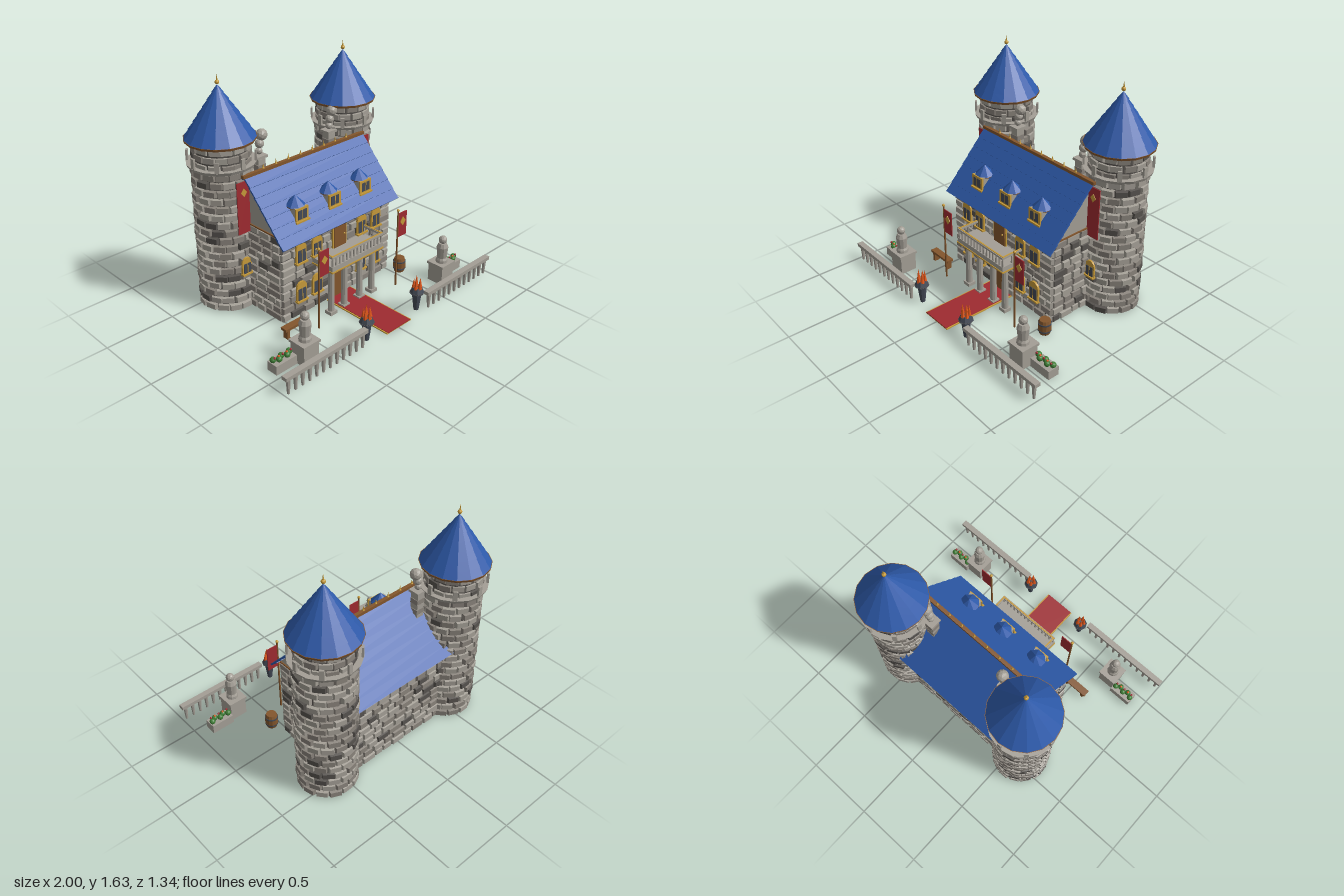
import * as THREE from 'three';
import { mergeGeometries } from 'three/addons/utils/BufferGeometryUtils.js';

const mat = (name, color) => Object.assign(new THREE.MeshStandardMaterial({ color }), { name });
const M = {
  light: mat('lightStone', 0xa39e95), mid: mat('midStone', 0x89837b), dark: mat('darkStone', 0x57534f),
  blue: mat('roofBlue', 0x2d59a8), red: mat('clothRed', 0x9e2b30), gold: mat('gold', 0xc69a3a),
  wood: mat('wood', 0x83562d), slate: mat('slate', 0x444a56), fire: mat('flameOrange', 0xe2581c),
  green: mat('leafGreen', 0x3f7d36),
};
let seed = 7;
const rnd = () => (seed = (seed * 16807) % 2147483647) / 2147483647;

// Facets a geometry so that each side keeps its own normal
function flat(geo) {
  const g = geo.index ? geo.toNonIndexed() : geo;
  g.computeVertexNormals();
  return g;
}
function add(parent, name, geo, material, x = 0, y = 0, z = 0, rx = 0, ry = 0, rz = 0) {
  const m = new THREE.Mesh(flat(geo), material);
  m.name = name;
  m.position.set(x, y, z);
  m.rotation.set(rx, ry, rz);
  parent.add(m);
  return m;
}
function group(parent, name, x = 0, y = 0, z = 0) {
  const g = new THREE.Group();
  g.name = name;
  g.position.set(x, y, z);
  parent.add(g);
  return g;
}
const box = (w, h, d) => new THREE.BoxGeometry(w, h, d);
const cyl = (rt, rb, h, n = 10) => new THREE.CylinderGeometry(rt, rb, h, n);
const ball = (r) => new THREE.IcosahedronGeometry(r, 1);
const lathe = (pts, n) => new THREE.LatheGeometry(pts.map((p) => new THREE.Vector2(p[0], p[1])), n);
function plate(pts, depth = 0.006) {
  const s = new THREE.Shape(pts.map((p) => new THREE.Vector2(p[0], p[1])));
  return new THREE.ExtrudeGeometry(s, { depth, bevelEnabled: false });
}
const diamond = (r) => plate([[0, -r], [r * 0.8, 0], [0, r], [-r * 0.8, 0]], 0.004);

// Stones: boxes with a chamfered outer face, gathered by shade
function newStones() { return { light: [], mid: [], dark: [] }; }
function stone(list, w, h, d, matrix) {
  const g = box(w, h, d), p = g.attributes.position;
  for (let i = 0; i < p.count; i++) if (p.getZ(i) > 0) p.setXY(i, p.getX(i) * (1 - 0.012 / w), p.getY(i) * (1 - 0.012 / h));
  const r = rnd(), key = r < 0.5 ? 'light' : r < 0.88 ? 'mid' : 'dark';
  list[key].push(flat(g).applyMatrix4(matrix));
}
function finishStones(parent, name, list) {
  for (const k in list) if (list[k].length) add(parent, name, mergeGeometries(list[k]), M[k]);
}
function stoneWall(list, width, height, x, z, angle) {
  const rows = 11, rh = height / rows;
  const base = new THREE.Matrix4().makeRotationY(angle).setPosition(x, 0, z);
  for (let r = 0; r < rows; r++) {
    let u = -width / 2;
    while (u < width / 2 - 0.001) {
      let w = 0.065 + rnd() * 0.06;
      if (u + w > width / 2 - 0.045) w = width / 2 - u;
      const m = new THREE.Matrix4().makeTranslation(u + w / 2, (r + 0.5) * rh, rnd() * 0.007);
      stone(list, w - 0.006, rh - 0.006, 0.024, m.premultiply(base));
      u += w;
    }
  }
}

// Arched window with sill and glazing bars, facing +z
function archWindow(parent, x, y, z, w = 0.09, h = 0.15) {
  const g = group(parent, 'archedWindow', x, y, z), r = w / 2;
  const pts = [[-r, 0], [r, 0]];
  for (let i = 0; i <= 10; i++) pts.push([r * Math.cos(i * Math.PI / 10), h - r + r * Math.sin(i * Math.PI / 10)]);
  add(g, 'windowFrame', plate(pts, 0.014), M.gold);
  add(g, 'windowPane', box(w * 0.74, h * 0.58, 0.006), M.slate, 0, h * 0.36, 0.015);
  add(g, 'glazingBar', box(0.005, h * 0.58, 0.006), M.gold, 0, h * 0.36, 0.018);
  add(g, 'windowSill', box(w * 1.1, 0.012, 0.03), M.gold, 0, 0.003, 0.012);
}

function tower(root, s) {
  const g = group(root, 'tower', s * 0.56, 0, -0.43), list = newStones(), rows = 21, n = 14, rh = 1.2 / rows;
  add(g, 'towerCore', cyl(0.187, 0.187, 1.2, 16), M.dark, 0, 0.601, 0);
  for (let r = 0; r < rows; r++) for (let i = 0; i < n; i++) {
    const a = (i + (r % 2) * 0.5 + (rnd() - 0.5) * 0.15) / n * Math.PI * 2, top = r > 17 ? 0.01 : 0;
    const m = new THREE.Matrix4().makeRotationY(a).multiply(new THREE.Matrix4().makeTranslation(0, (r + 0.5) * rh, 0.188 - top + rnd() * 0.008));
    stone(list, 0.083 + rnd() * 0.006, rh - 0.006, 0.026, m);
  }
  finishStones(g, 'towerStones', list);
  // Gallery ledge and posts
  add(g, 'galleryLedge', cyl(0.235, 0.225, 0.022, 16), M.light, 0, 1.04, 0);
  for (let i = 0; i < 8; i++) {
    const a = i * Math.PI / 4;
    add(g, 'galleryPost', box(0.03, 0.075, 0.014), M.light, Math.sin(a) * 0.225, 1.085, Math.cos(a) * 0.225, 0, a);
  }
  // Conical roof in overlapping courses
  const pts = [[0, 1.212]], L = 7;
  for (let i = 0; i < L; i++) {
    const f = (k) => 0.235 * (1 - k / L);
    pts.push([f(i) + 0.004, 1.214 + i * 0.35 / L], [Math.max(f(i + 1) - 0.002, 0), 1.214 + (i + 1) * 0.35 / L]);
  }
  add(g, 'towerRoof', lathe(pts, 16), M.blue);
  add(g, 'eavesRing', cyl(0.241, 0.236, 0.016, 16), M.wood, 0, 1.208, 0);
  add(g, 'finialBall', ball(0.015), M.gold, 0, 1.578, 0);
  add(g, 'finialSpike', cyl(0, 0.007, 0.05, 6), M.gold, 0, 1.607, 0);
  // Window and long banner on the front
  archWindow(g, 0, 0.275, 0.202, 0.08, 0.125);
  add(g, 'towerBanner', box(0.11, 0.37, 0.006), M.red, 0, 0.775, 0.214);
  add(g, 'bannerDiamond', diamond(0.03), M.gold, 0, 0.885, 0.217);
}

function house(root) {
  const g = group(root, 'house'), list = newStones();
  add(g, 'houseCore', box(1.02, 0.64, 0.6), M.dark, 0, 0.321, -0.22);
  stoneWall(list, 1.04, 0.64, 0, 0.08, 0);
  stoneWall(list, 1.04, 0.64, 0, -0.52, Math.PI);
  stoneWall(list, 0.6, 0.64, 0.51, -0.22, Math.PI / 2);
  stoneWall(list, 0.6, 0.64, -0.51, -0.22, -Math.PI / 2);
  finishStones(g, 'wallStones', list);
  const gable = plate([[-0.31, 0], [0.31, 0], [0, 0.335]], 1.03).translate(0, 0, -0.515).rotateY(Math.PI / 2);
  add(g, 'gable', gable, M.light, 0, 0.638, -0.22);
  for (const s of [-1, 1]) add(g, 'gableTrim', box(0.012, 0.01, 0.6), M.wood, s * 0.517, 0.64, -0.22);

  // Roof slopes in overlapping courses
  const N = 7, run = 0.36, rise = 0.395, len = Math.hypot(run, rise), slope = Math.atan2(rise, run);
  for (const s of [-1, 1]) for (let i = 0; i < N; i++) {
    const t = (i + 0.5) / N;
    add(g, 'roofCourse', box(1.1, 0.012, len / N + 0.012), M.blue, 0, 0.985 - t * rise, -0.22 + s * t * run, s * (slope - 0.07));
  }
  add(g, 'ridgeBeam', box(1.12, 0.022, 0.026), M.wood, 0, 0.988, -0.22);
  for (let i = 0; i < 8; i++) {
    const x = (i - 3.5) * 0.11;
    add(g, 'ridgeSpike', cyl(0, 0.008, 0.04, 6), M.gold, x, 1.016, -0.22);
    add(g, 'ridgeBead', ball(0.009), M.gold, x, 1.0, -0.22);
  }
  // Dormers
  for (const x of [-0.3, 0, 0.3]) {
    const d = group(g, 'dormer', x, 0, 0);
    add(d, 'dormerBody', box(0.1, 0.1, 0.12), M.light, 0, 0.732, -0.01);
    add(d, 'dormerFrame', box(0.11, 0.1, 0.012), M.gold, 0, 0.732, 0.052);
    add(d, 'dormerPane', box(0.075, 0.065, 0.008), M.slate, 0, 0.734, 0.056);
    add(d, 'dormerBar', box(0.005, 0.065, 0.006), M.gold, 0, 0.734, 0.059);
    add(d, 'dormerSill', box(0.12, 0.012, 0.03), M.gold, 0, 0.686, 0.054);
    add(d, 'dormerEaves', cyl(0.068, 0.068, 0.008, 8), M.wood, 0, 0.778, -0.012, 0, Math.PI / 8);
    add(d, 'dormerRoof', cyl(0, 0.07, 0.072, 8), M.blue, 0, 0.817, -0.012, 0, Math.PI / 8);
  }
  // Chimneys with smoke
  for (const s of [-1, 1]) {
    const c = group(g, 'chimney', s * 0.325, 0, -0.335);
    for (let i = 0; i < 5; i++) add(c, 'chimneyStone', box(0.062 + (i % 2) * 0.006, 0.038, 0.064), i % 2 ? M.mid : M.light, 0, 0.84 + i * 0.04, 0);
    add(c, 'chimneyCap', box(0.088, 0.018, 0.085), M.light, 0, 1.035, 0);
    [[0.003, 1.07, 0.025], [0.01, 1.12, 0.032], [0.03, 1.178, 0.041]].forEach(([x, y, r]) => add(c, 'smokePuff', ball(r), M.light, x, y, 0));
  }
  // Windows and doors
  for (const x of [-0.36, -0.215, 0.215, 0.36]) for (const y of [0.12, 0.415]) archWindow(g, x, y, 0.096);
  for (const [y, h] of [[0.01, 0.24], [0.4, 0.19]]) {
    add(g, 'doorFrame', box(0.13, h + 0.012, 0.012), M.gold, 0, y + h / 2, 0.098);
    add(g, 'door', box(0.112, h, 0.014), M.wood, 0, y + h / 2, 0.103);
    add(g, 'doorHandle', ball(0.007), M.gold, 0.038, y + h * 0.45, 0.113);
  }
  add(g, 'doorPennant', plate([[-0.055, 0.34], [-0.055, 0.275], [0, 0.24], [0.055, 0.275], [0.055, 0.34]]), M.blue, 0, 0, 0.113);
  add(g, 'pennantDiamond', diamond(0.035), M.gold, 0, 0.325, 0.12);
}

function balcony(root) {
  const g = group(root, 'balcony');
  add(g, 'deck', box(0.49, 0.036, 0.195), M.light, 0, 0.382, 0.185);
  add(g, 'deckTrim', box(0.5, 0.01, 0.2), M.gold, 0, 0.36, 0.187);
  for (const x of [-0.2, -0.075, 0.075, 0.2]) {
    add(g, 'column', cyl(0.021, 0.024, 0.33), M.light, x, 0.18, 0.225);
    add(g, 'columnBase', box(0.06, 0.025, 0.06), M.light, x, 0.0125, 0.225);
    add(g, 'columnCapital', box(0.058, 0.022, 0.058), M.light, x, 0.344, 0.225);
  }
  add(g, 'frontRail', box(0.49, 0.014, 0.02), M.light, 0, 0.467, 0.273);
  add(g, 'frontRailTrim', box(0.49, 0.004, 0.01), M.gold, 0, 0.476, 0.273);
  for (let i = 0; i < 15; i++) add(g, 'baluster', cyl(0.006, 0.008, 0.065, 6), M.light, -0.235 + i * 0.47 / 14, 0.43, 0.273);
  for (const s of [-1, 1]) {
    add(g, 'sideRail', box(0.018, 0.014, 0.18), M.light, s * 0.236, 0.467, 0.185);
    add(g, 'sideRailTrim', box(0.009, 0.004, 0.18), M.gold, s * 0.236, 0.476, 0.185);
    for (const z of [0.11, 0.195]) add(g, 'baluster', cyl(0.006, 0.008, 0.065, 6), M.light, s * 0.236, 0.43, z);
  }
}

function yard(root) {
  const g = group(root, 'forecourt');
  add(g, 'carpetBorder', box(0.24, 0.008, 0.565), M.gold, 0, 0.008, 0.382);
  add(g, 'carpet', box(0.222, 0.006, 0.565), M.red, 0, 0.012, 0.3825);
  for (const s of [-1, 1]) {
    // Balustrade
    add(g, 'fenceRail', box(0.7, 0.026, 0.042), M.light, s * 0.65, 0.122, 0.642);
    for (let i = 0; i < 12; i++) add(g, 'fencePost', cyl(0.016, 0.009, 0.11, 8), M.light, s * (0.33 + i * 0.058), 0.055, 0.642);
    // Statue on a pedestal
    add(g, 'pedestal', box(0.125, 0.135, 0.125), M.light, s * 0.675, 0.0675, 0.47);
    add(g, 'pedestalCap', box(0.142, 0.018, 0.142), M.light, s * 0.675, 0.143, 0.47);
    add(g, 'statueBody', lathe([[0, 0], [0.044, 0], [0.042, 0.02], [0.034, 0.035], [0.042, 0.12], [0.03, 0.15], [0, 0.15]], 10), M.light, s * 0.675, 0.152, 0.475);
    add(g, 'statueHead', ball(0.031), M.light, s * 0.675, 0.328, 0.475);
    // Planter
    add(g, 'planter', box(0.17, 0.065, 0.085), M.light, s * 0.825, 0.0325, 0.428);
    for (let i = 0; i < 5; i++) {
      const x = s * (0.76 + i * 0.033);
      add(g, 'shrub', ball(0.021), M.green, x, 0.081, 0.428 + (i % 2 - 0.5) * 0.02);
      add(g, 'flower', ball(0.008), i % 2 ? M.fire : M.red, x, 0.101, 0.435);
    }
    // Brazier
    const b = group(g, 'brazier', s * 0.25, 0, 0.6);
    add(b, 'brazierStand', cyl(0.034, 0.018, 0.13, 8), M.slate, 0, 0.065, 0);
    add(b, 'brazierBowl', cyl(0.034, 0.052, 0.042, 8), M.slate, 0, 0.156, 0);
    add(b, 'brazierRim', cyl(0.052, 0.044, 0.012, 8), M.dark, 0, 0.135, 0);
    for (let i = 0; i < 5; i++) {
      const a = i * Math.PI * 0.4, h = i % 2 ? 0.075 : 0.09;
      add(b, 'flame', cyl(0, 0.016, h, 6), M.fire, Math.sin(a) * 0.023, 0.17 + h / 2, Math.cos(a) * 0.023);
    }
    // Flag on a pole
    const f = group(g, 'flag', s * 0.382, 0, 0.295);
    add(f, 'flagPole', cyl(0.006, 0.007, 0.6, 8), M.wood, 0, 0.3, 0);
    add(f, 'poleKnob', ball(0.011), M.gold, 0, 0.602, 0);
    add(f, 'flagCloth', box(0.084, 0.185, 0.006), M.red, 0.048, 0.482, 0);
    add(f, 'flagDiamond', diamond(0.034), M.gold, 0.048, 0.505, 0.003);
  }
  // Bench
  add(g, 'benchSeat', box(0.205, 0.018, 0.052), M.wood, -0.532, 0.075, 0.225);
  for (const s of [-1, 1]) add(g, 'benchLeg', box(0.022, 0.068, 0.042), M.wood, -0.532 + s * 0.075, 0.034, 0.225);
  // Barrel
  add(g, 'barrel', lathe([[0, 0], [0.037, 0], [0.046, 0.035], [0.046, 0.075], [0.037, 0.11], [0, 0.11]], 12), M.wood, 0.555, 0, 0.18);
  for (const y of [0.028, 0.082]) add(g, 'barrelHoop', cyl(0.047, 0.047, 0.01, 12), M.slate, 0.555, y, 0.18);
}

export function createModel() {
  const root = new THREE.Group();
  root.name = 'castle';
  for (const s of [-1, 1]) tower(root, s);
  house(root);
  balcony(root);
  yard(root);
  return root;
}
